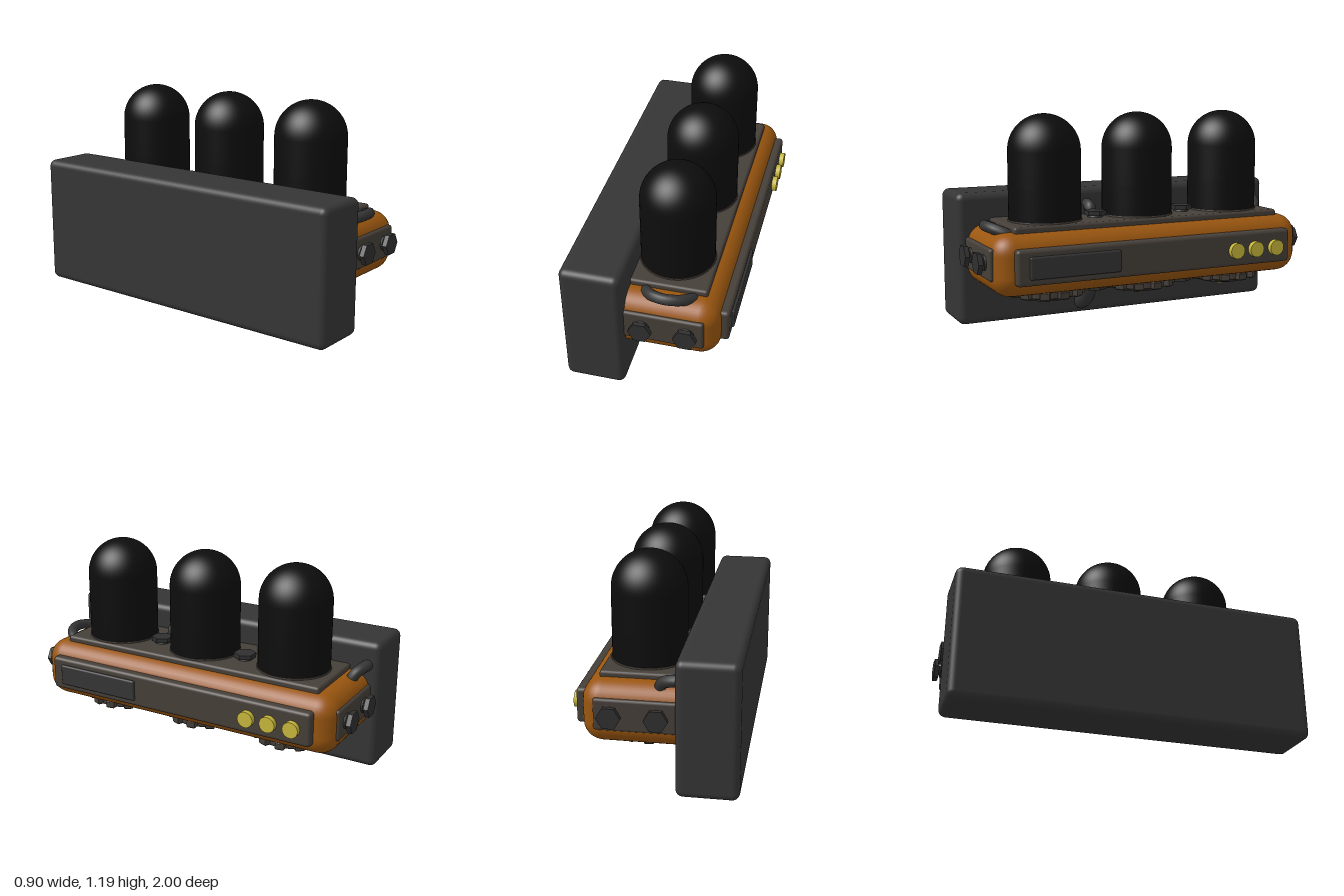
import * as THREE from 'three';
import { RoundedBoxGeometry } from 'three/addons/geometries/RoundedBoxGeometry.js';

const mat = (color) => new THREE.MeshStandardMaterial({ color });
const dark = mat(0x353535), orange = mat(0x9a560f), panel = mat(0x463f39);
const black = mat(0x0d0d0d), yellow = mat(0xc8b83c), steel = mat(0x303030);

const CX = 0.075;                       // axis line of the domes
const DOMES = [0.555, -0.01, -0.575];   // dome positions along z

function add(parent, name, geometry, material, x = 0, y = 0, z = 0) {
  const mesh = new THREE.Mesh(geometry, material);
  mesh.name = name;
  mesh.position.set(x, y, z);
  parent.add(mesh);
  return mesh;
}

// Rounded box given by its minimum and maximum corners
function box(parent, name, material, a, b, radius, segments = 2) {
  const s = b.map((v, i) => v - a[i]);
  const c = b.map((v, i) => (v + a[i]) / 2);
  return add(parent, name, new RoundedBoxGeometry(...s, segments, radius), material, ...c);
}

function tube(parent, name, radius, points) {
  const curve = new THREE.CatmullRomCurve3(points.map((p) => new THREE.Vector3(...p)));
  const mesh = add(parent, name, new THREE.TubeGeometry(curve, 24, radius, 12), steel);
  mesh.material = dark;
  return mesh;
}

// Hex bolt pointing up +y: flange, stem and six-sided head
function bolt(height) {
  const g = new THREE.Group();
  g.name = 'hexBolt';
  add(g, 'boltFlange', new THREE.CylinderGeometry(0.04, 0.045, height * 0.3, 16), steel, 0, height * 0.15);
  add(g, 'boltStem', new THREE.CylinderGeometry(0.026, 0.026, height, 12), steel, 0, height * 0.5 - 0.005);
  const head = new THREE.CylinderGeometry(0.063, 0.063, 0.026, 6).toNonIndexed();
  head.computeVertexNormals();
  head.rotateY(Math.PI / 2);
  add(g, 'boltHead', head, steel, 0, height - 0.013);
  return g;
}

// Toothed wheel outline with a round hole
function gearGeometry(teeth, inner, outer, hole, depth) {
  const shape = new THREE.Shape();
  const step = (Math.PI * 2) / teeth;
  for (let i = 0; i < teeth; i++) {
    for (const [t, r] of [[0, inner], [0.25, inner], [0.5, inner], [0.56, outer], [0.75, outer], [0.94, outer]]) {
      const a = (i + t) * step;
      const x = r * Math.cos(a), y = r * Math.sin(a);
      if (i === 0 && t === 0) shape.moveTo(x, y);
      else shape.lineTo(x, y);
    }
  }
  shape.closePath();
  const path = new THREE.Path();
  path.absarc(0, 0, hole, 0, Math.PI * 2, true);
  shape.holes.push(path);
  return new THREE.ExtrudeGeometry(shape, {
    depth: depth - 0.012, bevelEnabled: true, bevelThickness: 0.006, bevelSize: 0.005, bevelSegments: 1, curveSegments: 16,
  }).translate(0, 0, 0.006).rotateX(Math.PI / 2);
}

// Domed canister with its base collar
function dome() {
  const g = new THREE.Group();
  g.name = 'domeCanister';
  const pts = [new THREE.Vector2(0.201, 0), new THREE.Vector2(0.201, 0.2)];
  for (let i = 0; i <= 16; i++) {
    const a = (i / 16) * Math.PI / 2;
    pts.push(new THREE.Vector2(Math.max(0.201 * Math.cos(a), 0), 0.4 + 0.201 * Math.sin(a)));
  }
  add(g, 'domeShell', new THREE.LatheGeometry(pts, 48), black);
  add(g, 'domeCollar', new THREE.CylinderGeometry(0.205, 0.21, 0.03, 48), panel, 0, 0.011);
  return g;
}

// Wheel assembly hanging under the body, y = 0 at its top
function underWheel() {
  const g = new THREE.Group();
  g.name = 'underWheel';
  add(g, 'toothedRing', gearGeometry(12, 0.185, 0.215, 0.1, 0.045), panel);
  const ring = [[0.115, 0], [0.145, 0], [0.147, -0.055], [0.14, -0.064], [0.12, -0.064], [0.115, -0.055]];
  add(g, 'lampRim', new THREE.LatheGeometry(ring.map((p) => new THREE.Vector2(...p)).reverse(), 32), steel);
  const plate = [[0.118, -0.05], [0.118, -0.066], [0.105, -0.072], [0.055, -0.072], [0.05, -0.05]];
  add(g, 'lampPlate', new THREE.LatheGeometry(plate.map((p) => new THREE.Vector2(...p)).reverse(), 32), orange);
  add(g, 'lampSocket', new THREE.CylinderGeometry(0.056, 0.056, 0.05, 24), steel, 0, -0.038);
  add(g, 'lampBulb', new THREE.SphereGeometry(0.042, 24, 16), yellow, 0, -0.058);
  return g;
}

export function createModel() {
  const model = new THREE.Group();
  model.name = 'canisterUnit';

  // Mounting block and main housing
  box(model, 'mountingBlock', dark, [-0.45, 0, -1], [-0.12, 0.745, 0.995], 0.04, 4);
  box(model, 'housing', orange, [-0.3, 0.235, -0.943], [0.378, 0.573, 0.94], 0.11, 4);
  box(model, 'topPlate', panel, [-0.2, 0.54, -0.825], [0.295, 0.603, 0.81], 0.015);

  // Domes above, toothed wheels below
  for (const z of DOMES) {
    const d = dome();
    d.position.set(CX, 0.585, z);
    const w = underWheel();
    w.position.set(CX, 0.236, z);
    model.add(d, w);
  }

  // Bolts between the domes, above and below
  for (const z of [0.265, -0.285]) {
    const top = bolt(0.04);
    top.position.set(0.105, 0.6, z);
    const bottom = bolt(0.045);
    bottom.rotation.x = Math.PI;
    bottom.position.set(0.105, 0.236, z);
    model.add(top, bottom);
  }

  // End plates, each with two bolts
  for (const s of [1, -1]) {
    box(model, 'endPlate', panel, [-0.2, 0.328, s * 0.93 - 0.022], [0.305, 0.502, s * 0.93 + 0.022], 0.015);
    for (const x of [-0.025, 0.215]) {
      const b = bolt(0.055);
      b.rotation.x = s * Math.PI / 2;
      b.position.set(x, 0.418, s * 0.945);
      model.add(b);
    }
  }

  // Side panel with a screen and three buttons
  box(model, 'sidePanel', panel, [0.34, 0.31, -0.838], [0.418, 0.503, 0.84], 0.02, 3);
  box(model, 'sideScreen', dark, [0.4, 0.345, 0.255], [0.432, 0.466, 0.772], 0.01);
  for (const z of [-0.47, -0.6, -0.735]) {
    const button = add(model, 'sideButton', new THREE.CylinderGeometry(0.045, 0.045, 0.05, 24), yellow, 0.422, 0.402, z);
    button.rotation.z = Math.PI / 2;
  }

  // Carry handle at the front end
  tube(model, 'frontHandle', 0.03, [
    [-0.04, 0.53, 0.79], [-0.03, 0.56, 0.825], [0.02, 0.585, 0.88], [0.095, 0.592, 0.9],
    [0.17, 0.585, 0.88], [0.22, 0.56, 0.825], [0.23, 0.53, 0.79],
  ]);

  // Cables linking the block and the housing
  tube(model, 'rearCable', 0.032, [[-0.17, 0.615, -0.93], [-0.1, 0.61, -0.92], [-0.045, 0.585, -0.89], [-0.025, 0.53, -0.86]]);
  for (const z of [0.22, 0.295]) {
    tube(model, 'topCable', 0.033, [[-0.17, 0.645, z], [-0.1, 0.645, z], [-0.065, 0.63, z], [-0.055, 0.57, z]]);
  }
  tube(model, 'lowerCable', 0.045, [[-0.17, 0.065, 0.257], [-0.11, 0.075, 0.257], [-0.04, 0.12, 0.257], [-0.01, 0.19, 0.257], [-0.005, 0.27, 0.257]]);

  return model;
}
